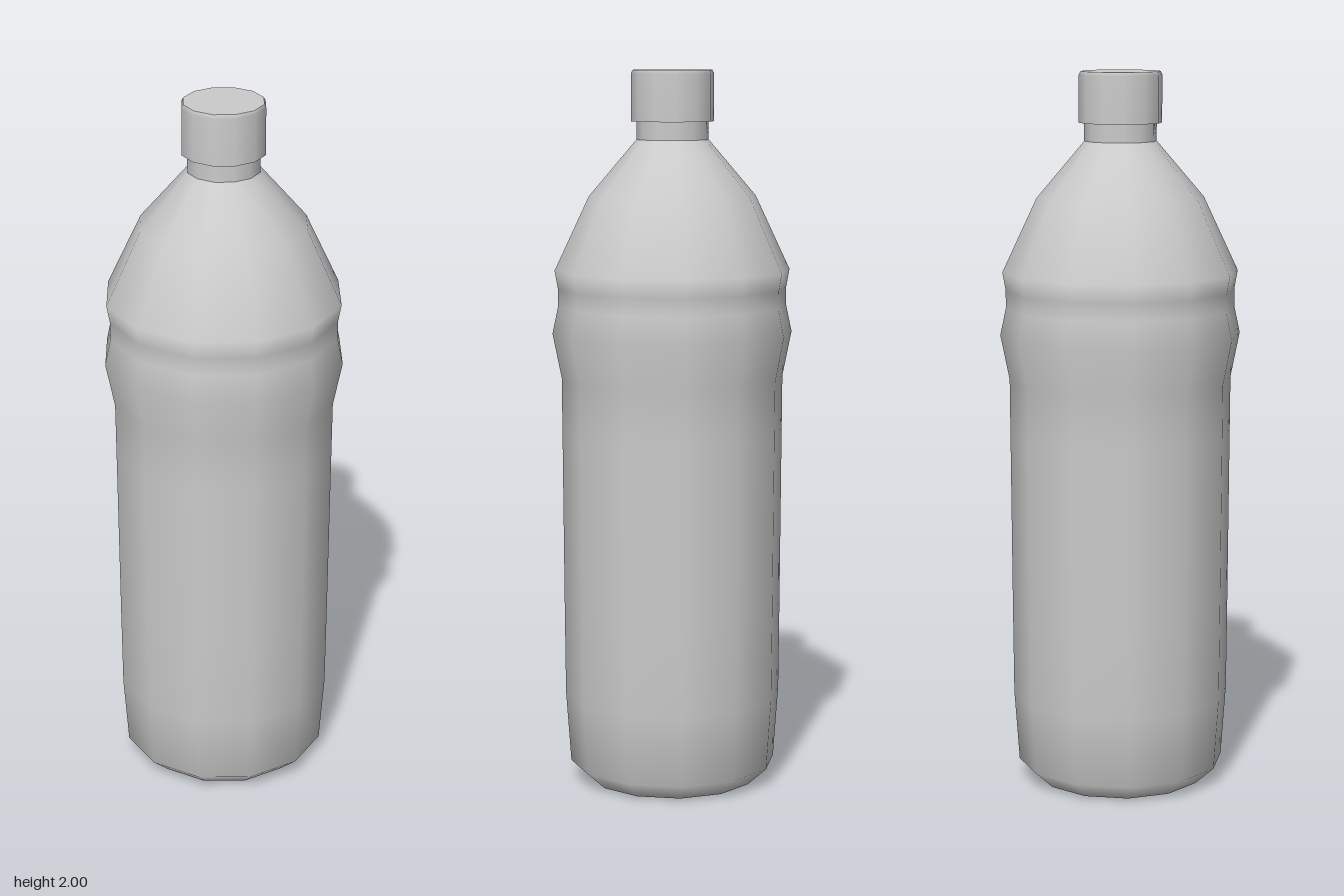
import * as THREE from 'three';

const SIDES = 12;

export function createModel() {
  const bottle = new THREE.Group();
  bottle.name = 'bottle';
  const material = new THREE.MeshStandardMaterial({ color: 0xcccccc });

  // Revolve a profile of [radius, height] points, listed from bottom to top
  const turn = (name, profile, parent) => {
    const points = profile.map(([r, y]) => new THREE.Vector2(r, y));
    const mesh = new THREE.Mesh(new THREE.LatheGeometry(points, SIDES), material);
    mesh.name = name;
    parent.add(mesh);
  };

  // Body: rounded foot, straight wall, grip ridge, groove, shoulder and neck
  turn('body', [
    [0.235, 0], [0.29, 0.05], [0.304, 0.25], [0.306, 0.5], [0.309, 1.0],
    [0.31, 1.15], [0.335, 1.275], [0.319, 1.35], [0.319, 1.4], [0.328, 1.45],
    [0.232, 1.655], [0.1, 1.81],
  ], bottle);
  turn('neck', [[0.1, 1.81], [0.1, 1.87]], bottle);

  // Slightly recessed underside
  turn('base', [[0, 0.02], [0.235, 0]], bottle);

  // Screw cap, split at its hard edges
  const cap = new THREE.Group();
  cap.name = 'cap';
  turn('capUnderside', [[0.09, 1.86], [0.115, 1.86]], cap);
  turn('capWall', [[0.115, 1.86], [0.115, 1.99], [0.11, 2]], cap);
  turn('capTop', [[0.11, 2], [0, 2]], cap);
  bottle.add(cap);

  return bottle;
}
